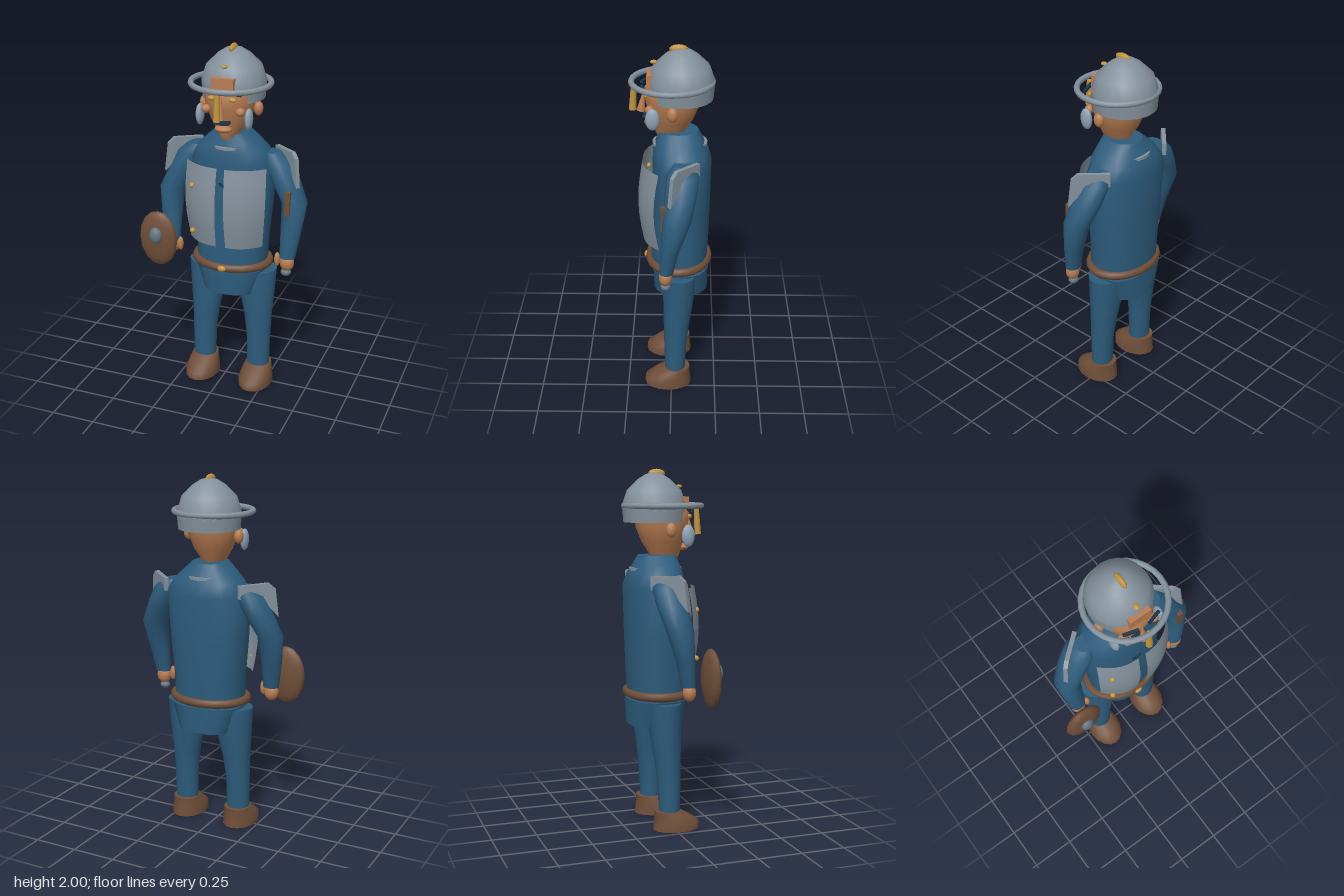
import * as THREE from 'three';

const mat = (name, color, side = THREE.FrontSide) => {
  const m = new THREE.MeshStandardMaterial({ color, side });
  m.name = name;
  return m;
};

export function createModel() {
  const cloth = mat('blue cloth', 0x2d5c7c);
  const navy = mat('dark navy', 0x1b3448);
  const steel = mat('steel', 0x84919c, THREE.DoubleSide);
  const paleSteel = mat('pale steel', 0x8fa2b5);
  const iron = mat('iron', 0x647582);
  const leather = mat('brown leather', 0x6f4e39);
  const skin = mat('skin', 0xb87d52);
  const gold = mat('gold', 0xbf9440);

  const model = new THREE.Group();
  model.name = 'guard';
  const body = new THREE.Group();
  body.name = 'figure';
  body.position.x = 0.03;
  model.add(body);

  const add = (name, geo, material, x = 0, y = 0, z = 0) => {
    const m = new THREE.Mesh(geo, material);
    m.name = name;
    m.position.set(x, y, z);
    body.add(m);
    return m;
  };
  const ball = (name, material, x, y, z, rx, ry, rz, seg = 12) =>
    add(name, new THREE.SphereGeometry(1, seg, 8).scale(rx, ry, rz), material, x, y, z);
  const box = (name, material, x, y, z, w, h, d) =>
    add(name, new THREE.BoxGeometry(w, h, d), material, x, y, z);

  // Closed loft through horizontal rings [y, cx, cz, rx, rz], listed upwards
  const loft = (rings, side = 1, n = 16, power = 2) => {
    const pos = [], idx = [];
    const ring = ([y, cx, cz, rx, rz]) => {
      for (let i = 0; i < n; i++) {
        const a = (i / n) * Math.PI * 2, c = Math.cos(a), s = Math.sin(a);
        pos.push(side * cx + rx * Math.sign(c) * Math.abs(c) ** (2 / power), y,
          cz + rz * Math.sign(s) * Math.abs(s) ** (2 / power));
      }
    };
    rings.forEach(ring);
    for (let r = 0; r < rings.length - 1; r++) {
      for (let i = 0; i < n; i++) {
        const a = r * n + i, b = r * n + (i + 1) % n;
        idx.push(a, a + n, b, b, a + n, b + n);
      }
    }
    [rings[0], rings[rings.length - 1]].forEach((r, top) => {
      const start = pos.length / 3;
      ring(r);
      pos.push(side * r[1], r[0], r[2]);
      for (let i = 0; i < n; i++) {
        const a = start + i, b = start + (i + 1) % n;
        idx.push(start + n, top ? b : a, top ? a : b);
      }
    });
    const g = new THREE.BufferGeometry();
    g.setAttribute('position', new THREE.Float32BufferAttribute(pos, 3));
    g.setIndex(idx);
    g.computeVertexNormals();
    return g;
  };

  // Torso, skirt, belt
  add('torso', loft([
    [0.70, 0, -0.04, 0.2, 0.155], [0.9, 0, -0.045, 0.205, 0.16], [1.1, 0, -0.05, 0.225, 0.16],
    [1.36, 0, -0.055, 0.24, 0.16], [1.43, 0, -0.047, 0.2, 0.147], [1.48, 0, -0.04, 0.15, 0.125],
    [1.53, 0, -0.035, 0.095, 0.105]], 1, 20, 2.3), cloth);
  add('skirt', loft([[0.58, 0, -0.05, 0.16, 0.153], [0.73, 0, -0.05, 0.212, 0.157]], 1, 20, 2.6), cloth);
  add('belt', new THREE.TorusGeometry(1, 0.115, 8, 24).rotateX(Math.PI / 2)
    .scale(0.213, 0.21, 0.168), leather, 0, 0.76, -0.038);
  ball('buckle', gold, 0, 0.76, 0.14, 0.027, 0.018, 0.018);
  add('collarPlate', new THREE.CylinderGeometry(1, 1, 0.016, 20).scale(0.13, 1, 0.148), steel, 0, 1.455, -0.043);
  for (const s of [-1, 1]) {
    const chevron = box('chestChevron', navy, s * 0.012, 1.25, 0.113, 0.032, 0.01, 0.008);
    chevron.rotation.z = s * 0.6;
  }

  // Legs, boots, arms, hands, shoulder plates, breastplates
  for (const s of [-1, 1]) {
    add('leg', loft([
      [0.09, 0.167, -0.02, 0.066, 0.058], [0.28, 0.167, -0.022, 0.069, 0.064],
      [0.42, 0.16, -0.03, 0.08, 0.075], [0.58, 0.148, -0.04, 0.105, 0.088],
      [0.72, 0.142, -0.045, 0.12, 0.095]], s), cloth);
    add('boot', loft([
      [0, 0.167, 0.02, 0.097, 0.133], [0.04, 0.167, 0.021, 0.096, 0.13],
      [0.075, 0.167, -0.002, 0.086, 0.103], [0.11, 0.167, -0.033, 0.074, 0.072]], s), leather);
    add('arm', loft([
      [0.84, 0.345, 0.025, 0.045, 0.038], [0.98, 0.355, 0.005, 0.058, 0.05],
      [1.15, 0.362, -0.03, 0.071, 0.075], [1.27, 0.3, -0.05, 0.08, 0.085],
      [1.37, 0.25, -0.06, 0.08, 0.085], [1.42, 0.22, -0.06, 0.045, 0.05]], s), cloth);
    ball('hand', skin, s * 0.345, 0.81, 0.03, 0.042, 0.05, 0.036);
    ball('thumb', skin, s * 0.291, 0.825, 0.04, 0.017, 0.042, 0.02);

    const plate = new THREE.Shape([[0, 1.36], [0, 1.43], [0.17, 1.44], [0.205, 1.41],
      [0.225, 1.25], [0.18, 1.3]].map(([x, y]) => new THREE.Vector2(x, y)));
    const pad = add('shoulderPlate', new THREE.ExtrudeGeometry(plate, { depth: 0.024, bevelEnabled: false })
      .translate(0, 0, -0.012), steel, s * 0.22, 0, -0.14);
    pad.rotation.y = s > 0 ? -0.72 : Math.PI + 0.72;

    const breast = new THREE.PlaneGeometry(1, 1, 8, 6);
    const p = breast.attributes.position;
    for (let i = 0; i < p.count; i++) {
      const u = p.getX(i) * s + 0.5, v = p.getY(i) + 0.5;
      const outer = 0.212 + 0.023 * v + 0.012 * Math.sin(Math.PI * v);
      const bulge = 0.158 + 0.027 * Math.sin(Math.PI * v);
      p.setXYZ(i, s * (0.022 + 0.006 * (1 - v) + (outer - 0.028) * u), 0.9 + 0.46 * v, bulge - 0.09 * u ** 2.4);
    }
    breast.computeVertexNormals();
    add('breastplate', breast, steel);
  }
  for (const y of [1.235, 0.965]) ball('stud', gold, -0.175, y, 0.135, 0.016, 0.016, 0.016);
  box('armStrap', leather, 0.345, 1.165, 0.04, 0.03, 0.14, 0.03);
  add('hilt', new THREE.CylinderGeometry(0.018, 0.018, 0.06, 10), iron, 0.34, 0.77, 0.03);
  ball('pommel', iron, 0.34, 0.75, 0.03, 0.03, 0.022, 0.028);

  // Shield
  ball('shield', leather, -0.383, 0.885, 0.14, 0.115, 0.165, 0.041, 12);
  ball('shieldBoss', iron, -0.383, 0.915, 0.178, 0.039, 0.05, 0.028, 10);

  // Head and face
  add('head', loft([
    [1.49, 0, 0.005, 0.05, 0.07], [1.53, 0, 0.01, 0.062, 0.085], [1.6, 0, -0.003, 0.108, 0.115],
    [1.68, 0, -0.006, 0.137, 0.146], [1.76, 0, -0.008, 0.145, 0.155],
    [1.82, 0, -0.03, 0.135, 0.13]]), skin);
  box('brow', skin, 0, 1.815, 0.09, 0.125, 0.07, 0.085);
  ball('lips', skin, 0, 1.572, 0.115, 0.05, 0.019, 0.034);
  add('nose', new THREE.ConeGeometry(0.024, 0.13, 8), skin, 0, 1.7, 0.155).rotation.x = -0.15;
  for (const s of [-1, 1]) {
    ball('ear', skin, s * 0.155, 1.67, -0.005, 0.025, 0.04, 0.03);
    ball('cheekFlap', paleSteel, s * 0.138, 1.637, 0.1, 0.021, 0.06, 0.038);
    ball('cheek', skin, s * 0.096, 1.675, 0.115, 0.026, 0.024, 0.026);
    ball('eye', gold, s * 0.06, 1.742, 0.135, 0.021, 0.013, 0.013);
    const brow = box('eyebrow', navy, s * 0.07, 1.778, 0.148, 0.085, 0.014, 0.016);
    brow.rotation.set(0, s * 0.32, -s * 0.12);
    const whisker = box('moustache', navy, s * 0.02, 1.612, 0.135, 0.045, 0.014, 0.04);
    whisker.rotation.z = s * 0.12;
  }

  // Helmet
  const profile = [[0.175, 1.77], [0.175, 1.81], [0.15, 1.885], [0.088, 1.945], [0.045, 1.972], [0, 1.982]]
    .map(([x, y]) => new THREE.Vector2(x, y));
  add('helmetDome', new THREE.LatheGeometry(profile, 20), steel, 0, 0, -0.05);
  add('neckGuard', new THREE.CylinderGeometry(0.176, 0.17, 0.08, 20, 1, true, 0.78, Math.PI * 2 - 1.56),
    steel, 0, 1.75, -0.05);
  add('helmetBrim', new THREE.TorusGeometry(0.215, 0.016, 8, 28).rotateX(Math.PI / 2), steel, 0, 1.8, 0);
  ball('helmetCrest', gold, 0, 1.975, -0.035, 0.017, 0.025, 0.05, 8);
  ball('helmetStud', gold, 0, 1.905, 0.095, 0.016, 0.01, 0.02);
  add('noseGuard', new THREE.CylinderGeometry(0.015, 0.02, 0.14, 8), gold, 0, 1.71, 0.205).rotation.x = -0.06;
  return model;
}
